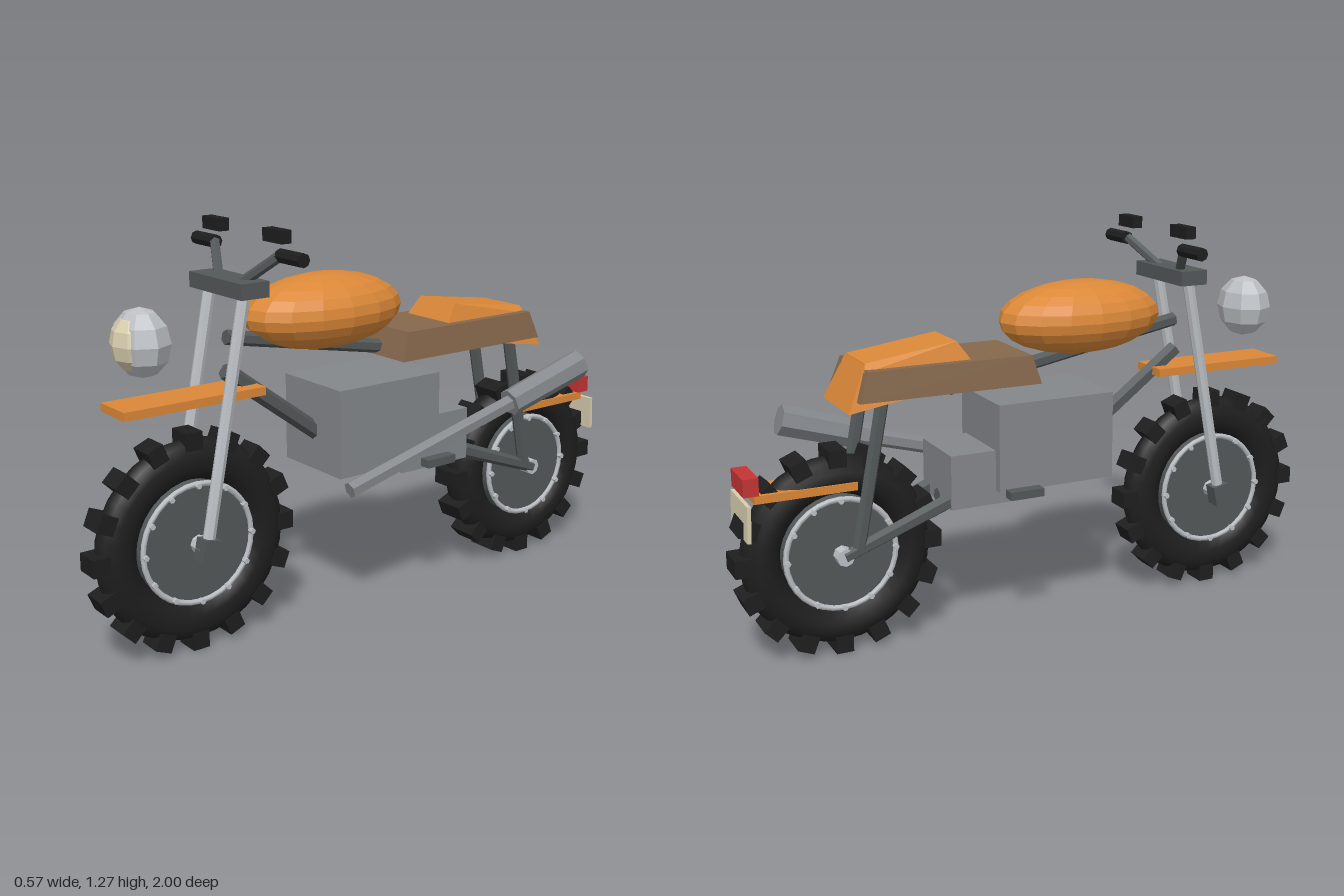
import * as THREE from 'three';
import { ConvexGeometry } from 'three/addons/geometries/ConvexGeometry.js';

const material = (name, color) => {
  const m = new THREE.MeshStandardMaterial({ color });
  m.name = name;
  return m;
};

export function createModel() {
  const bike = new THREE.Group();
  bike.name = 'motorcycle';
  const rubber = material('black rubber', 0x1e1e1e);
  const steel = material('dark steel', 0x535858);
  const chrome = material('light metal', 0xbcc0c4);
  const metal = material('engine grey', 0x84878b);
  const orange = material('orange paint', 0xdb8838);
  const brown = material('brown leather', 0x86684c);
  const cream = material('cream', 0xd8ceae);
  const red = material('red lamp', 0xc43434);

  // Adds a mesh with faceted normals unless smooth is asked for
  function add(name, geometry, mat, parent = bike, smooth = false) {
    let g = geometry;
    if (!smooth) {
      if (g.index) g = g.toNonIndexed();
      g.computeVertexNormals();
    }
    const mesh = new THREE.Mesh(g, mat);
    mesh.name = name;
    parent.add(mesh);
    return mesh;
  }

  // Box given by its lower and upper corners
  function box(name, mat, [x0, y0, z0], [x1, y1, z1], parent = bike) {
    const mesh = add(name, new THREE.BoxGeometry(x1 - x0, y1 - y0, z1 - z0), mat, parent);
    mesh.position.set((x0 + x1) / 2, (y0 + y1) / 2, (z0 + z1) / 2);
    return mesh;
  }

  // Straight rod between two points
  function rod(name, mat, from, to, r, sides = 6, rEnd = r) {
    const a = new THREE.Vector3(...from), b = new THREE.Vector3(...to);
    const dir = b.clone().sub(a);
    const mesh = add(name, new THREE.CylinderGeometry(rEnd, r, dir.length(), sides), mat);
    mesh.position.copy(a).add(b).multiplyScalar(0.5);
    mesh.quaternion.setFromUnitVectors(new THREE.Vector3(0, 1, 0), dir.normalize());
    return mesh;
  }

  function ellipsoid(name, mat, [x, y, z], [sx, sy, sz], w, h) {
    const g = new THREE.SphereGeometry(1, w, h).scale(sx, sy, sz);
    add(name, g, mat).position.set(x, y, z);
  }

  // Convex solid from [half width, y, z] points mirrored in x
  function hull(name, mat, points) {
    const pts = points.flatMap(([x, y, z]) => [new THREE.Vector3(x, y, z), new THREE.Vector3(-x, y, z)]);
    add(name, new ConvexGeometry(pts), mat);
  }

  // Wheels: squashed tyre, tread blocks, disc, rim rings with bolts
  function wheel(name, y, z, outer, rimR, half, lugHalf) {
    const w = new THREE.Group();
    w.name = name;
    w.position.set(0, y, z);
    bike.add(w);
    const treadR = outer - 0.025, tube = (treadR - rimR) / 2;
    const tyre = new THREE.TorusGeometry(rimR + tube, tube, 10, 32).rotateY(Math.PI / 2).scale(half / tube, 1, 1);
    add('tyre', tyre, rubber, w, true);
    for (let i = 0; i < 16; i++) {
      const a = i * Math.PI / 8;
      const lug = add('treadBlock', new THREE.BoxGeometry(lugHalf * 2, 0.055, 0.055), rubber, w);
      lug.position.set(0, Math.cos(a) * (outer - 0.0275), Math.sin(a) * (outer - 0.0275));
      lug.rotation.x = a;
    }
    const discHalf = half * 0.84;
    add('wheelDisc', new THREE.CylinderGeometry(rimR, rimR, discHalf * 2, 32).rotateZ(Math.PI / 2), steel, w);
    add('hub', new THREE.CylinderGeometry(0.028, 0.028, 0.19, 8).rotateZ(Math.PI / 2), chrome, w);
    for (const s of [-1, 1]) {
      const ring = add('rimRing', new THREE.TorusGeometry(rimR - 0.003, 0.009, 6, 32).rotateY(Math.PI / 2), chrome, w, true);
      ring.position.x = s * discHalf;
      for (let i = 0; i < 12; i++) {
        const a = i * Math.PI / 6;
        const bolt = add('rimBolt', new THREE.CylinderGeometry(0.009, 0.009, 0.022, 6).rotateZ(Math.PI / 2), chrome, w);
        bolt.position.set(s * (discHalf + 0.007), Math.cos(a) * (rimR - 0.006), Math.sin(a) * (rimR - 0.006));
      }
    }
  }
  wheel('frontWheel', 0.342, 0.66, 0.342, 0.188, 0.05, 0.041);
  wheel('rearWheel', 0.326, -0.674, 0.326, 0.177, 0.064, 0.053);

  // Parts that come in left and right pairs
  for (const s of [-1, 1]) {
    rod('forkLeg', chrome, [s * 0.093, 0.34, 0.66], [s * 0.093, 1.09, 0.51], 0.019, 8);
    const axle = box('axleClamp', steel, [s * 0.095 - 0.025, 0.305, 0.632], [s * 0.095 + 0.025, 0.372, 0.688]);
    axle.rotation.x = -0.2;
    rod('handlebar', steel, [s * 0.05, 1.1, 0.505], [s * 0.175, 1.195, 0.44], 0.016);
    rod('grip', rubber, [s * 0.17, 1.194, 0.437], [s * 0.285, 1.194, 0.437], 0.021, 8);
    box('mirror', rubber, [s * 0.1625 - 0.0475, 1.232, 0.425], [s * 0.1625 + 0.0475, 1.27, 0.46]);
    box('footPeg', steel, [s * 0.209 - 0.019, 0.474, -0.187], [s * 0.209 + 0.019, 0.5, -0.075]);
    rod('swingArm', steel, [s * 0.085, 0.46, -0.32], [s * 0.085, 0.326, -0.674], 0.026, 6, 0.02);
    rod('rearShock', steel, [s * 0.09, 0.8, -0.543], [s * 0.09, 0.35, -0.63], 0.021);
  }

  // Steering yoke and headlight
  box('yoke', steel, [-0.142, 1.073, 0.457], [0.142, 1.12, 0.552]);
  ellipsoid('headlightShell', chrome, [0, 0.963, 0.798], [0.1, 0.102, 0.083], 8, 6);
  ellipsoid('headlightLens', cream, [0, 0.963, 0.825], [0.077, 0.082, 0.062], 8, 6);

  // Frame tubes
  rod('topTube', steel, [0, 0.94, 0.52], [0, 0.79, -0.29], 0.023);
  rod('downTube', steel, [0, 0.84, 0.525], [0, 0.59, 0.19], 0.027);
  rod('lowerTube', steel, [0, 0.42, -0.01], [0, 0.45, -0.34], 0.023);

  // Engine and gearbox
  box('engine', metal, [-0.145, 0.475, -0.187], [0.145, 0.755, 0.21]);
  box('gearbox', metal, [-0.115, 0.432, -0.337], [0.115, 0.605, -0.06]);

  // Exhaust on the left side
  rod('exhaustPipe', metal, [0.152, 0.435, 0.18], [0.172, 0.615, -0.49], 0.027);
  rod('muffler', metal, [0.172, 0.61, -0.475], [0.187, 0.702, -0.782], 0.046, 7, 0.05);

  // Tank, seat and tail cowl
  ellipsoid('fuelTank', orange, [0, 0.98, 0.165], [0.16, 0.117, 0.28], 16, 12);
  hull('seat', brown, [
    [0.142, 0.808, -0.04], [0.142, 0.808, -0.63],
    [0.13, 0.898, -0.068], [0.13, 0.898, -0.597],
  ]);
  hull('seatPad', orange, [
    [0.105, 0.89, -0.255], [0.105, 0.89, -0.6],
    [0.085, 0.955, -0.3], [0.085, 0.914, -0.592],
  ]);
  hull('tailCowl', orange, [
    [0.088, 0.913, -0.592], [0.088, 0.88, -0.5],
    [0.123, 0.802, -0.49], [0.123, 0.775, -0.658],
  ]);

  // Fenders, tail lamp and blank plate
  box('frontFender', orange, [-0.069, 0.764, 0.428], [0.069, 0.79, 0.898]);
  box('rearFender', orange, [-0.067, 0.525, -0.935], [0.067, 0.55, -0.62]);
  box('tailLamp', red, [-0.068, 0.55, -0.967], [0.068, 0.605, -0.92]);
  const plate = box('rearPlate', cream, [-0.096, 0.418, -0.967], [0.096, 0.53, -0.955]);
  plate.rotation.x = 0.04;

  return bike;
}
